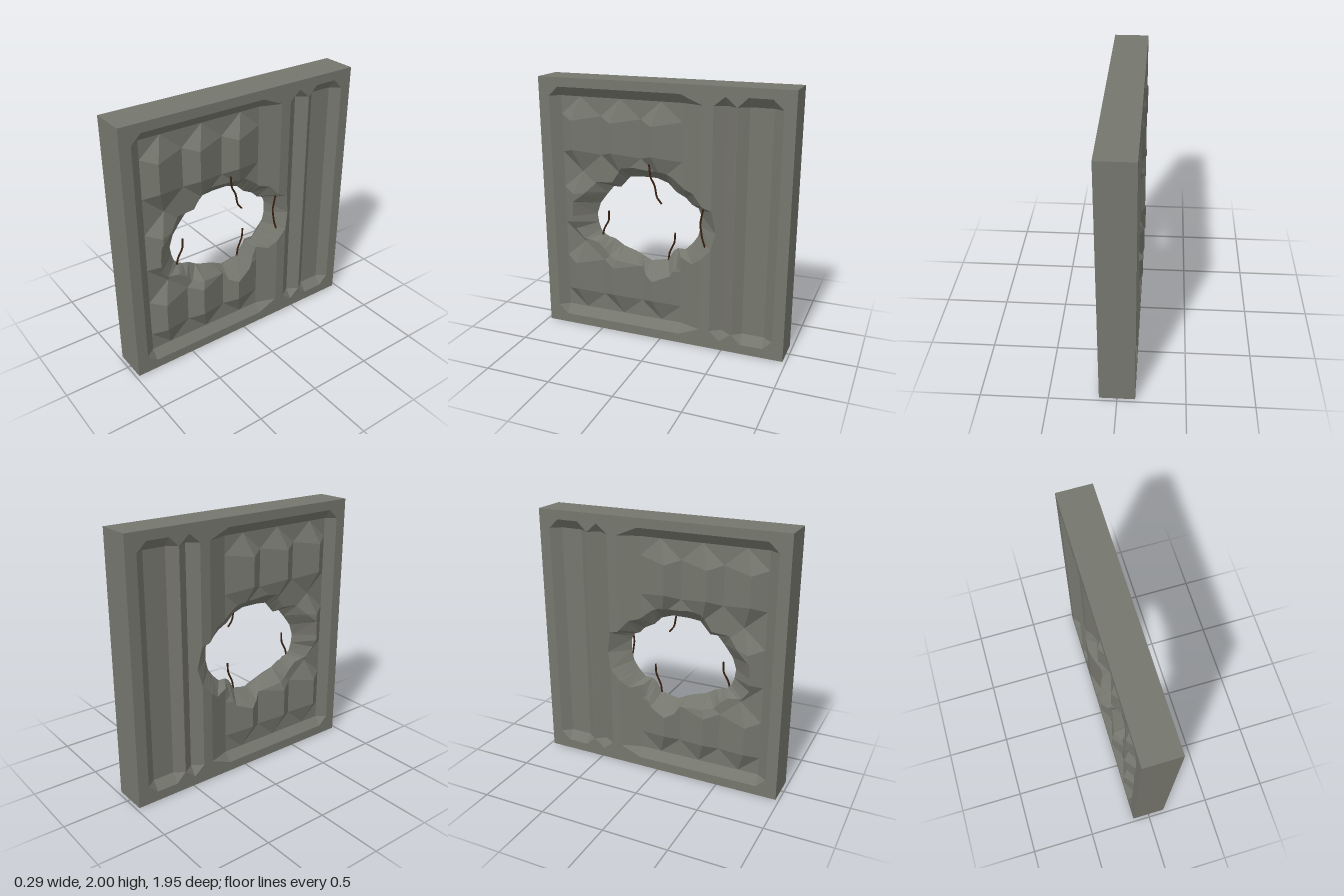
import * as THREE from 'three';

// Wall slab: half thickness S, recess floor F, ridge crest R (distances along x)
const S = 0.132, F = 0.077, R = 0.145, HALF = 0.975, TOP = 1.86, LOW = 0.144, BEVEL = 0.07;

// Broken opening as [z, y] loops: at the face, and at its narrow waist in mid-wall
const RIM = [
  [.73, .93], [.72, 1.05], [.64, 1.11], [.54, 1.21], [.41, 1.22], [.33, 1.34], [.23, 1.35], [.13, 1.34], [0, 1.34], [-.07, 1.31],
  [-.17, 1.23], [-.25, 1.21], [-.33, 1.12], [-.40, 1.10], [-.43, .93], [-.40, .80], [-.33, .72], [-.25, .66], [-.15, .69], [-.12, .62],
  [-.07, .53], [.06, .48], [.13, .51], [.17, .57], [.34, .60], [.45, .62], [.49, .67], [.55, .72], [.66, .74], [.72, .82]];
const WAIST = [
  [.58, .93], [.55, 1.02], [.49, 1.10], [.43, 1.17], [.37, 1.17], [.29, 1.26], [.20, 1.27], [.07, 1.27], [-.02, 1.24], [-.08, 1.18],
  [-.16, 1.14], [-.21, 1.09], [-.26, 1.07], [-.28, 1.02], [-.28, .93], [-.26, .85], [-.22, .79], [-.16, .73], [-.10, .73], [-.07, .71],
  [-.02, .63], [.12, .60], [.20, .64], [.25, .66], [.35, .69], [.43, .74], [.48, .75], [.52, .77], [.55, .80], [.57, .86]];
const CENTRE = [.14, .94];

// Signed side of v relative to the line a -> b, in the z-y plane
const side = (a, b, v) => (b[0] - a[0]) * (v[1] - a[1]) - (b[1] - a[1]) * (v[0] - a[0]);

// Keep the part of a convex polygon where f >= 0
function clip(poly, f) {
  const out = [];
  poly.forEach((p, i) => {
    const q = poly[(i + 1) % poly.length], a = f(p), b = f(q);
    if (a >= -1e-9) out.push(p);
    if ((a > 1e-9 && b < -1e-9) || (a < -1e-9 && b > 1e-9)) {
      const t = a / (a - b);
      out.push(p.map((c, k) => c + (q[k] - c) * t));
    }
  });
  return out;
}

// Relief of one face as polygons of [z, y, x]
function reliefPolygons() {
  const polys = [], outlines = [];

  // Sunken tray with bevelled ends; zero floor width gives a V groove
  const tray = (o1, i1, i2, o2, floor) => {
    const t = TOP + BEVEL, b = LOW - BEVEL;
    polys.push(
      [[o1, TOP, S], [i1, TOP, F], [i1, LOW, F], [o1, LOW, S]],
      [[o2, TOP, S], [i2, TOP, F], [i2, LOW, F], [o2, LOW, S]]);
    for (const [y, e] of [[TOP, t], [LOW, b]]) {
      polys.push([[o1, y, S], [i1, e, S], [i1, y, F]], [[o2, y, S], [i2, e, S], [i2, y, F]]);
      if (i1 !== i2) polys.push([[i1, e, S], [i2, e, S], [i2, y, F], [i1, y, F]]);
    }
    if (floor) polys.push([[i1, TOP, F], [i2, TOP, F], [i2, LOW, F], [i1, LOW, F]]);
    const loop = i1 === i2
      ? [[o1, TOP], [i1, t], [o2, TOP], [o2, LOW], [i1, b], [o1, LOW]]
      : [[o1, TOP], [i1, t], [i2, t], [o2, TOP], [o2, LOW], [i2, b], [i1, b], [o1, LOW]];
    outlines.push(loop.map(p => new THREE.Vector2(...p)));
  };
  tray(.89, .815, -.155, -.32, false);
  tray(-.40, -.485, -.485, -.568, false);
  tray(-.572, -.645, -.815, -.89, true);

  // Faceted ridges, three by three, on the floor of the wide tray
  const w = .97 / 3, h = (TOP - LOW) / 3;
  for (let c = 0; c < 3; c++) for (let r = 0; r < 3; r++) {
    const a = .815 - c * w, b = a - w, m = (a + b) / 2, k = a - .105;
    const t = TOP - r * h, u = t - h;
    const P1 = [k, t - .175, R], P2 = [k, u + .175, R];
    for (const z of [a, b]) polys.push([[z, t - .14, F], [z, u + .14, F], P2, P1]);
    for (const [y, s, P] of [[t, -.14, P1], [u, .14, P2]]) for (const z of [a, b]) {
      polys.push([[m, y, F], [z, y + s, F], P], [[z, y, F], [z, y + s, F], [m, y, F]]);
    }
  }

  // Flat border around the trays
  const rect = [[-HALF, 0], [HALF, 0], [HALF, 2], [-HALF, 2]].map(p => new THREE.Vector2(...p));
  const all = [rect, ...outlines].flat();
  for (const f of THREE.ShapeUtils.triangulateShape(rect, outlines)) {
    polys.push(f.map(i => [all[i].x, all[i].y, S]));
  }
  return polys;
}

function wallGeometry() {
  const pos = [];
  const fan = (pts, mirror) => {
    for (let i = 1; i < pts.length - 1; i++) {
      const tri = mirror ? [pts[0], pts[i + 1], pts[i]] : [pts[0], pts[i], pts[i + 1]];
      for (const [z, y, x] of tri) pos.push(mirror ? -x : x, y, z);
    }
  };
  const area = p => p.reduce((s, v, i) => {
    const q = p[(i + 1) % p.length];
    return s + v[1] * q[0] - v[0] * q[1];
  }, 0);

  for (const poly of reliefPolygons()) {
    if (area(poly) < 0) poly.reverse();
    // Cut the opening out, one wedge around its centre at a time
    RIM.forEach((a, i) => {
      const j = (i + 1) % RIM.length, b = RIM[j];
      let p = clip(poly, v => side(CENTRE, a, v));
      p = clip(p, v => -side(CENTRE, b, v));
      p = clip(p, v => -side(a, b, v));
      if (p.length < 3 || Math.abs(area(p)) < 1e-7) return;
      fan(p, false);
      fan(p, true);
      // Broken inner wall from the rim down to the waist
      const len2 = (b[0] - a[0]) ** 2 + (b[1] - a[1]) ** 2;
      const inner = v => {
        const t = ((v[0] - a[0]) * (b[0] - a[0]) + (v[1] - a[1]) * (b[1] - a[1])) / len2;
        return [0, 1].map(k => WAIST[i][k] + (WAIST[j][k] - WAIST[i][k]) * t).concat(0);
      };
      p.forEach((v, k) => {
        const n = p[(k + 1) % p.length];
        if (Math.abs(side(a, b, v)) > 1e-7 || Math.abs(side(a, b, n)) > 1e-7) return;
        const quad = [n, v, inner(v), inner(n)];
        fan(quad, false);
        fan(quad, true);
      });
    });
  }

  // Slab edges
  const H = HALF;
  fan([[H, 0, -S], [H, 0, S], [H, 2, S], [H, 2, -S]]);
  fan([[-H, 0, S], [-H, 0, -S], [-H, 2, -S], [-H, 2, S]]);
  fan([[H, 2, -S], [H, 2, S], [-H, 2, S], [-H, 2, -S]]);
  fan([[-H, 0, -S], [-H, 0, S], [H, 0, S], [H, 0, -S]]);

  const g = new THREE.BufferGeometry();
  g.setAttribute('position', new THREE.Float32BufferAttribute(pos, 3));
  g.computeVertexNormals();
  return g;
}

export function createModel() {
  const group = new THREE.Group();
  group.name = 'brokenWallPanel';
  const concrete = new THREE.MeshStandardMaterial({ color: 0x75766d });
  concrete.name = 'grey concrete';
  const rust = new THREE.MeshStandardMaterial({ color: 0x3a2210, side: THREE.DoubleSide });
  rust.name = 'rusty steel';

  const wall = new THREE.Mesh(wallGeometry(), concrete);
  wall.name = 'wall';
  group.add(wall);

  // Bent reinforcing bars sticking out of the break: depth x, then [z, y] path
  const bars = [
    [.09, [[.10, 1.395], [.09, 1.30], [.055, 1.235], [.04, 1.15], [0, 1.10]]],
    [.085, [[-.325, 1.10], [-.302, .98], [-.32, .865], [-.35, .78]]],
    [0, [[-.075, .85], [-.07, .775], [-.03, .685], [-.02, .62]]],
    [.01, [[.475, .965], [.48, .885], [.52, .815], [.535, .755]]]];
  bars.forEach(([x, path], i) => {
    const curve = new THREE.CatmullRomCurve3(path.map(([z, y]) => new THREE.Vector3(x, y, z)), false, 'catmullrom', 0.15);
    const bar = new THREE.Mesh(new THREE.TubeGeometry(curve, 12, .007, 6), rust);
    bar.name = 'reinforcingBar' + (i + 1);
    group.add(bar);
  });
  return group;
}
